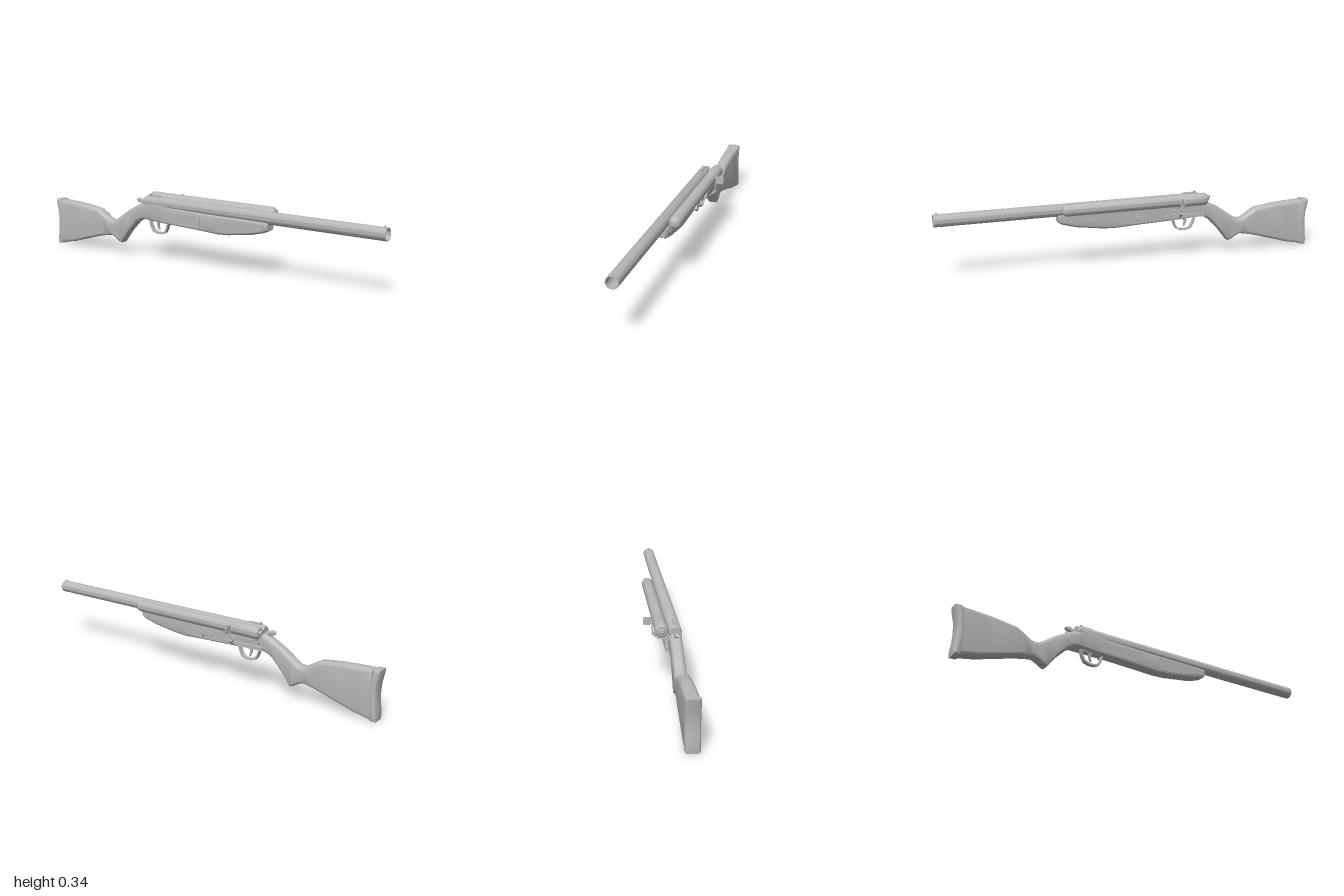
import * as THREE from 'three';
import { toCreasedNormals } from 'three/addons/utils/BufferGeometryUtils.js';

const CX = -0.052; // centre plane of barrel and stock

export function createModel() {
  const model = new THREE.Group();
  const grey = new THREE.MeshStandardMaterial({ color: 0xb8b8b8 });
  grey.name = 'plain grey';

  const add = (name, geo, x = 0, y = 0, z = 0, crease = 0.6) => {
    const mesh = new THREE.Mesh(toCreasedNormals(geo, crease), grey);
    mesh.name = name;
    mesh.position.set(x, y, z);
    model.add(mesh);
    return mesh;
  };
  const box = (name, w, h, d, x, y, z) => add(name, new THREE.BoxGeometry(w, h, d), x, y, z);

  // Turned part along z, from [radius, z] points
  const turned = (pts, n = 32) =>
    new THREE.LatheGeometry(pts.map(p => new THREE.Vector2(...p)), n).rotateX(Math.PI / 2);
  // Disc or stud along x
  const stud = (name, r, len, x, y, z, n = 20) =>
    add(name, new THREE.CylinderGeometry(r, r, len, n).rotateZ(Math.PI / 2), x, y, z);

  // Side profile of [z, y] points extruded across x, centred on x = 0
  const toV = p => new THREE.Vector2(-p[0], p[1]);
  const profile = (pts, width, bevel = 0, hole) => {
    const shape = new THREE.Shape(pts.map(toV));
    if (hole) shape.holes.push(new THREE.Path(hole.map(toV)));
    return new THREE.ExtrudeGeometry(shape, {
      depth: width - 2 * bevel, bevelEnabled: bevel > 0, bevelSize: bevel,
      bevelThickness: bevel, bevelOffset: -bevel, bevelSegments: 4,
    }).translate(0, 0, bevel - width / 2).rotateY(Math.PI / 2);
  };

  // Loft of rounded rectangles: rows of [z, top, bottom, halfWidth, topRadius, bottomRadius]
  const loft = rows => {
    const pos = [], idx = [], seg = 6, n = 4 * (seg + 1);
    for (const [z, top, bot, w, rt, rb] of rows) {
      const corners = [[w - rt, top - rt, rt], [rt - w, top - rt, rt], [rb - w, bot + rb, rb], [w - rb, bot + rb, rb]];
      corners.forEach(([x, y, r], q) => {
        for (let k = 0; k <= seg; k++) {
          const a = (q + k / seg) * Math.PI / 2;
          pos.push(x + r * Math.cos(a), y + r * Math.sin(a), z);
        }
      });
    }
    const last = (rows.length - 1) * n;
    for (let j = 0; j < n; j++) {
      const k = (j + 1) % n;
      for (let i = 0; i < last; i += n) idx.push(i + j, i + n + j, i + k, i + k, i + n + j, i + n + k);
      if (j > 0 && j < n - 1) idx.push(0, j, j + 1, last, last + j + 1, last + j);
    }
    const g = new THREE.BufferGeometry();
    g.setAttribute('position', new THREE.Float32BufferAttribute(pos, 3));
    g.setIndex(idx);
    return g;
  };

  // Hollow barrel with front bead
  add('barrel', turned([[0, -0.37], [0.026, -0.37], [0.031, -0.36], [0.031, 1], [0.027, 1], [0.027, 0.6], [0, 0.6]]), CX, 0.303, 0);
  add('frontBead', new THREE.SphereGeometry(0.006, 12, 8), CX, 0.336, 0.985);

  // Fore-end and receiver body
  add('body', loft([
    [0.395, 0.283, 0.243, 0.028, 0.012, 0.012],
    [0.37, 0.284, 0.23, 0.030, 0.012, 0.014],
    [0.3, 0.285, 0.212, 0.031, 0.012, 0.016],
    [0.165, 0.285, 0.193, 0.031, 0.012, 0.016],
    [0.1, 0.285, 0.19, 0.031, 0.012, 0.014],
    [-0.02, 0.288, 0.197, 0.031, 0.012, 0.01],
    [-0.2, 0.295, 0.203, 0.031, 0.014, 0.01],
    [-0.28, 0.312, 0.207, 0.031, 0.022, 0.01],
    [-0.36, 0.305, 0.212, 0.031, 0.026, 0.012],
  ]), CX);

  // Shoulder stock
  add('stock', loft([
    [-0.355, 0.303, 0.212, 0.031, 0.026, 0.014],
    [-0.39, 0.292, 0.204, 0.030, 0.026, 0.018],
    [-0.42, 0.278, 0.186, 0.029, 0.026, 0.02],
    [-0.475, 0.249, 0.13, 0.029, 0.026, 0.02],
    [-0.528, 0.212, 0.063, 0.029, 0.025, 0.016],
    [-0.545, 0.2, 0.068, 0.029, 0.025, 0.016],
    [-0.57, 0.184, 0.084, 0.029, 0.025, 0.016],
    [-0.595, 0.18, 0.095, 0.029, 0.025, 0.016],
    [-0.62, 0.188, 0.092, 0.029, 0.025, 0.016],
    [-0.66, 0.214, 0.084, 0.030, 0.025, 0.016],
    [-0.69, 0.23, 0.077, 0.031, 0.025, 0.016],
    [-0.8, 0.243, 0.046, 0.032, 0.022, 0.016],
    [-0.87, 0.247, 0.025, 0.033, 0.02, 0.016],
    [-0.96, 0.25, 0.008, 0.034, 0.018, 0.016],
  ]), CX, 0, 0, 0.7);

  // Butt plate with a hollowed rear face
  add('buttPlate', profile([
    [-0.965, 0.253], [-0.95, 0.2], [-0.945, 0.13], [-0.95, 0.06], [-0.958, 0.004],
    [-0.99, 0.002], [-0.993, 0.03], [-0.986, 0.08], [-0.983, 0.13], [-0.986, 0.18], [-0.996, 0.225], [-1, 0.253],
  ], 0.07, 0.012), CX);

  // Raised side plates: a swept one on the left, two on the right
  add('leftSidePlate', profile([
    [0.385, 0.278], [0.385, 0.248], [0.24, 0.25], [0.165, 0.25], [0.125, 0.24],
    [0.08, 0.217], [0.01, 0.206], [-0.34, 0.22], [-0.34, 0.278],
  ], 0.008), -0.022);
  add('rightForePanel', profile([
    [0.375, 0.272], [0.37, 0.245], [0.29, 0.224], [0.165, 0.207], [0.1, 0.205], [0.1, 0.272],
  ], 0.006), -0.083);
  add('rightReceiverPanel', profile([[0, 0.268], [0, 0.208], [-0.24, 0.214], [-0.24, 0.268]], 0.006), -0.083);
  stud('rightPin', 0.016, 0.008, -0.084, 0.235, -0.02);

  // Side screws, and a knob on a scalloped mount
  for (const z of [0.347, 0.315]) stud('sideScrew', 0.009, 0.006, -0.016, 0.26, z);
  for (const [dz, r] of [[0, 0.022], [0.035, 0.014], [-0.035, 0.014]]) stud('knobMount', r, 0.006, -0.016, 0.235, -0.02 + dz);
  stud('knobStem', 0.01, 0.02, -0.006, 0.235, -0.02);
  stud('knob', 0.017, 0.012, 0.004, 0.235, -0.02, 6);

  // Air tank with domed ends, rear valve housing and end cap
  add('tank', turned([
    [0, -0.23], [0.03, -0.23], [0.03, 0.36], [0.028, 0.373], [0.022, 0.383], [0.012, 0.388], [0, 0.39],
  ]), 0.013, 0.315, 0, 0.8);
  add('valveHousing', turned([
    [0, -0.38], [0.024, -0.38], [0.03, -0.373], [0.032, -0.36], [0.032, -0.226], [0.03, -0.22], [0, -0.22],
  ]), 0.013, 0.314, 0);
  add('valveCap', turned([[0, -0.392], [0.01, -0.39], [0.014, -0.384], [0.014, -0.375], [0, -0.375]], 20), 0.013, 0.314, 0);
  box('tankBracket', 0.03, 0.03, 0.12, -0.006, 0.277, -0.29);
  box('frontTankBracket', 0.02, 0.016, 0.04, -0.016, 0.283, 0.3);

  // Slide rail with ribbed block
  box('slideRail', 0.014, 0.018, 0.23, -0.013, 0.225, -0.265);
  box('slideBlock', 0.016, 0.018, 0.16, -0.012, 0.25, -0.275);
  for (let i = 0; i < 9; i++) box('slideRib', 0.004, 0.016, 0.008, -0.003, 0.25, -0.215 - i * 0.015);
  box('slideStop', 0.022, 0.03, 0.02, -0.002, 0.232, -0.2);

  // Valve paddle and its curved lever
  const s = new THREE.Shape(), h = 0.02, r = 0.009;
  s.absarc(h - r, h - r, r, 0, Math.PI / 2);
  s.absarc(r - h, h - r, r, Math.PI / 2, Math.PI);
  s.absarc(r - h, r - h, r, Math.PI, Math.PI * 1.5);
  s.absarc(h - r, r - h, r, Math.PI * 1.5, Math.PI * 2);
  add('valvePaddle', new THREE.ExtrudeGeometry(s, { depth: 0.006, bevelEnabled: false }), 0.067, 0.315, -0.233);
  const arm = new THREE.CatmullRomCurve3([[0.042, 0.305], [0.045, 0.28], [0.034, 0.247], [0.01, 0.222]]
    .map(p => new THREE.Vector3(p[0], p[1], -0.23)));
  add('leverArm', new THREE.TubeGeometry(arm, 20, 0.003, 8));
  box('leverPad', 0.022, 0.012, 0.016, 0.036, 0.248, -0.23).rotation.z = Math.PI / 4;

  // Trigger guard and trigger
  add('triggerGuard', profile(
    [[-0.215, 0.212], [-0.222, 0.18], [-0.235, 0.153], [-0.255, 0.142], [-0.29, 0.14], [-0.32, 0.15], [-0.336, 0.178], [-0.345, 0.216]],
    0.022, 0,
    [[-0.225, 0.204], [-0.231, 0.18], [-0.242, 0.159], [-0.258, 0.15], [-0.29, 0.148], [-0.314, 0.157], [-0.328, 0.18], [-0.335, 0.204]],
  ), CX);
  add('trigger', profile([[-0.275, 0.212], [-0.284, 0.185], [-0.278, 0.162], [-0.284, 0.16], [-0.294, 0.182], [-0.298, 0.212]], 0.01), CX);

  // Rear sight and hammer
  box('rearSightBase', 0.012, 0.008, 0.07, CX, 0.335, -0.31);
  box('rearSightLeaf', 0.02, 0.012, 0.008, CX, 0.337, -0.34);
  add('sightScrew', new THREE.SphereGeometry(0.006, 12, 8), CX, 0.333, -0.215);
  add('hammer', profile([[-0.36, 0.3], [-0.385, 0.308], [-0.405, 0.316], [-0.425, 0.314], [-0.43, 0.304], [-0.42, 0.295], [-0.4, 0.293], [-0.39, 0.27], [-0.36, 0.27]], 0.016, 0.003), CX);

  return model;
}
